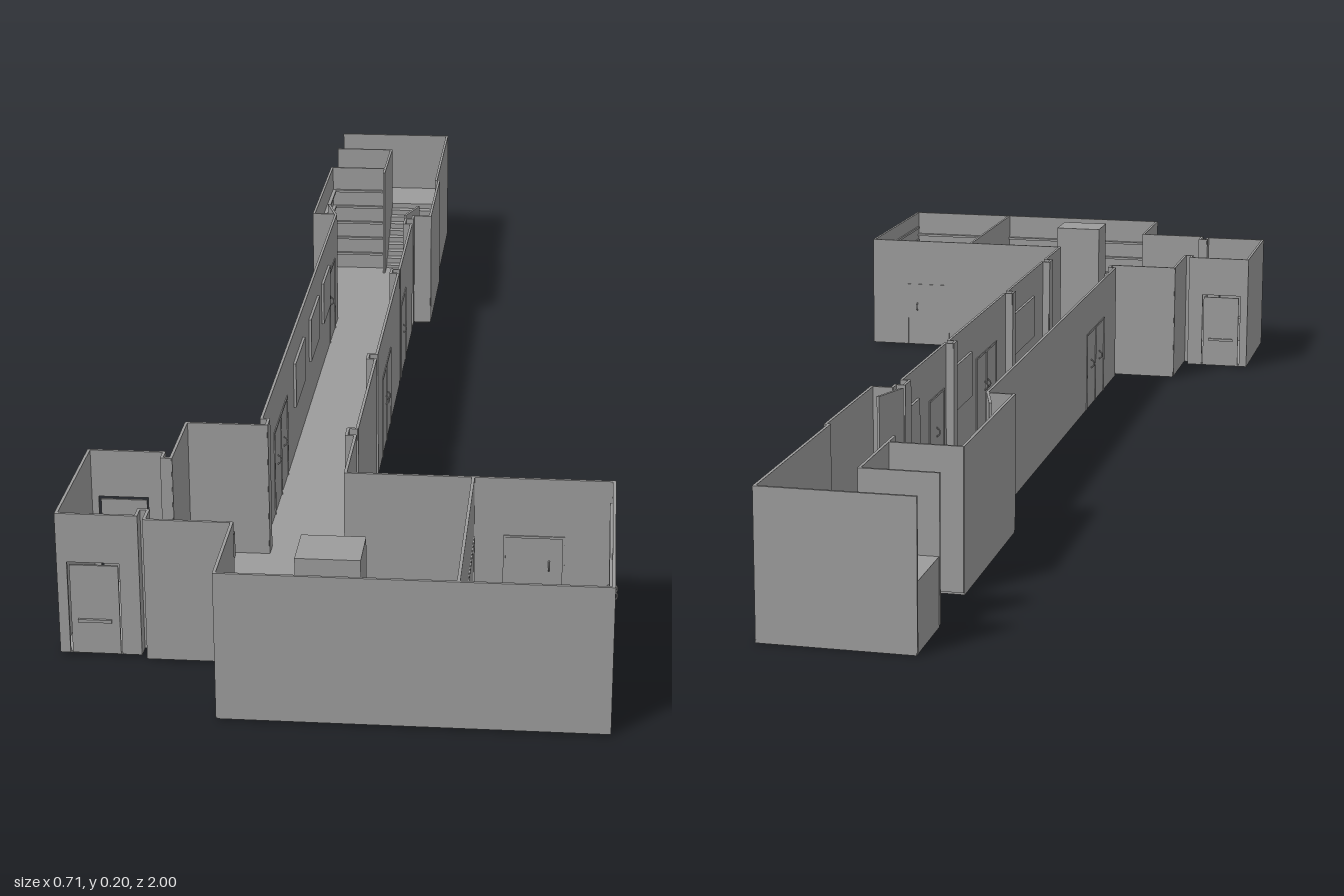
import * as THREE from 'three';

const H = 0.195, T = 0.004, BASE = 0.003;

export function createModel() {
  const model = new THREE.Group();
  const mat = new THREE.MeshStandardMaterial({ color: 0x9b9b9b, flatShading: true, side: THREE.DoubleSide });

  // Box given by its two opposite corners
  const block = (name, x0, x1, y0, y1, z0, z1, parent = model) => {
    const m = new THREE.Mesh(new THREE.BoxGeometry(x1 - x0, y1 - y0, z1 - z0), mat);
    m.position.set((x0 + x1) / 2, (y0 + y1) / 2, (z0 + z1) / 2);
    m.name = name;
    parent.add(m);
  };
  // Walls along a chain of plan points [x, z]
  const walls = (name, pts) => {
    for (let i = 0; i < pts.length - 1; i++) {
      const [ax, az] = pts[i], [bx, bz] = pts[i + 1];
      const m = new THREE.Mesh(new THREE.BoxGeometry(Math.hypot(bx - ax, bz - az) + T * 0.5, H - BASE, T), mat);
      m.position.set((ax + bx) / 2, (H + BASE) / 2, (az + bz) / 2);
      m.rotation.y = -Math.atan2(bz - az, bx - ax);
      m.name = name;
      model.add(m);
    }
  };

  // Floors: the stair end lies slightly lower than the rest
  [
    ['stairFloor', -0.08, 0.02, -0.89, -0.76, 0],
    ['landingFloor', -0.18, 0.02, -1, -0.89, 0],
    ['lobbyFloor', -0.18, 0.02, -0.76, -0.47, 0],
    ['corridorFloor', -0.14, -0.005, -0.47, 0.52, 0.002],
    ['hallFloor', -0.24, -0.003, 0.52, 0.68, 0.002],
    ['hallFrontFloor', -0.24, 0, 0.68, 0.85, 0.002],
    ['mainRoomFloor', 0, 0.344, 0.68, 1, 0.002],
    ['mainRoomCornerFloor', -0.13, 0, 0.85, 1, 0.002],
    ['sideRoomFloor', -0.355, -0.25, 0.63, 0.84, 0.002],
    ['sideThresholdFloor', -0.25, -0.24, 0.65, 0.82, 0.002],
  ].forEach(([n, x0, x1, z0, z1, y]) => block(n, x0, x1, y, BASE + 0.001, z0, z1));

  // Stairwell and lobby walls
  walls('stairwellWall', [[-0.18, -0.998], [0.018, -0.998], [0.018, -0.69], [0.023, -0.69], [0.023, -0.468], [-0.006, -0.468]]);
  walls('stairInnerWall', [[-0.18, -0.89], [-0.08, -0.89], [-0.08, -0.73]]);
  walls('lobbyWall', [[-0.08, -0.76], [-0.178, -0.76], [-0.178, -0.468], [-0.14, -0.468]]);

  // Solid stairs rising to the half landing
  const steps = 9, landingY = 0.09;
  for (let i = 0; i < steps; i++) {
    const z1 = -0.76 - i * 0.13 / steps;
    block('stairStep', -0.08, 0.018, BASE, landingY * (i + 1) / (steps + 1), z1 - 0.13 / steps, z1);
  }
  block('landing', -0.18, 0.018, BASE, landingY, -0.998, -0.89);

  // Lobby wall slats and opened door leaves
  for (let y = 0.03; y < 0.18; y += 0.03) {
    block('lobbySlat', -0.176, -0.17, y, y + 0.004, -0.756, -0.48);
    block('lobbyEndSlat', -0.17, -0.085, y, y + 0.004, -0.758, -0.752);
  }
  walls('lobbyDoorLeaf', [[-0.142, -0.47], [-0.158, -0.525]]);
  walls('lobbyDoorLeaf', [[-0.02, -0.47], [-0.002, -0.525]]);

  // Corridor: plain wall on one side, recessed joints on the other
  walls('corridorWall', [[-0.14, -0.468], [-0.14, 0.5], [-0.13, 0.5], [-0.13, 0.522]]);
  const run = [[-0.006, -0.468]];
  [[-0.45, -0.42], [-0.17, -0.15], [0.23, 0.25], [0.525, 0.55]].forEach(([a, b]) =>
    run.push([-0.006, a], [-0.018, a], [-0.018, b], [-0.006, b]));
  run.push([-0.006, 0.68]);
  walls('corridorDoorWall', run);

  // Hall, main room and side room walls
  walls('mainRoomWall', [[-0.006, 0.68], [0.342, 0.68], [0.342, 0.998], [-0.13, 0.998], [-0.13, 0.85], [-0.24, 0.85],
    [-0.24, 0.82], [-0.252, 0.82], [-0.252, 0.84]]);
  walls('hallWall', [[-0.13, 0.522], [-0.24, 0.522], [-0.24, 0.65], [-0.252, 0.65], [-0.252, 0.63]]);
  walls('sideRoomWall', [[-0.353, 0.63], [-0.353, 0.84]]);
  walls('partitionWall', [[0.16, 0.682], [0.16, 0.996]]);
  block('pillar', -0.04, 0.04, BASE, H, 0.88, 0.95);

  // Side room end walls, each with a hole and a door set in it
  [0.63, 0.84].forEach(z => {
    const s = new THREE.Shape([[-0.355, BASE], [-0.342, BASE], [-0.342, 0.129], [-0.275, 0.129], [-0.275, BASE],
      [-0.25, BASE], [-0.25, H], [-0.355, H]].map(p => new THREE.Vector2(...p)));
    const m = new THREE.Mesh(new THREE.ExtrudeGeometry(s, { depth: T, bevelEnabled: false }), mat);
    m.position.z = z - T / 2;
    m.name = 'sideRoomEndWall';
    model.add(m);
    block('sideRoomDoor', -0.339, -0.277, BASE, 0.125, z - 0.0015, z + 0.0015);
    block('pushBar', -0.33, -0.287, 0.047, 0.051, z - 0.005, z + 0.005);
  });

  // Framed door centred on a plan point, with ring handles on both faces
  const door = (x, z, turn, width, top, handles) => {
    const g = new THREE.Group(), d = 0.0035, w = 0.003, h = width / 2;
    g.name = 'door';
    g.position.set(x, 0, z);
    g.rotation.y = turn;
    [-h, h - w].forEach(a => block('doorFrameSide', -d, d, BASE, top, a, a + w, g));
    block('doorFrameTop', -d, d, top - w, top, -h, h, g);
    if (handles.length === 2) block('doorCentre', -d, d, BASE, top, -0.001, 0.001, g);
    handles.forEach(a => {
      const ring = new THREE.Mesh(new THREE.TorusGeometry(0.007, 0.0012, 6, 14), mat);
      ring.position.set(0, 0.073, a);
      ring.name = 'doorHandle';
      g.add(ring);
    });
    model.add(g);
  };
  door(-0.006, 0.09, 0, 0.14, 0.13, [-0.01, 0.01]);
  door(-0.006, -0.23, 0, 0.09, 0.13, [0.0]);
  door(-0.14, 0.315, 0, 0.15, 0.13, [-0.035, 0.035]);
  door(-0.14, -0.38, 0, 0.08, 0.13, [0.02]);
  door(0.342, 0.755, 0, 0.13, 0.115, [-0.01, 0.01]);
  door(0.16, 0.755, 0, 0.13, 0.115, [0.025]);
  door(0.24, 0.68, Math.PI / 2, 0.08, 0.115, [0.02]);

  // Boards along the inside of the corridor
  [[-0.32, -0.22], [-0.16, -0.04], [0.04, 0.16]].forEach(([a, b]) =>
    block('noticeBoard', -0.138, -0.134, 0.08, 0.15, a, b));
  [[-0.4, -0.34], [-0.12, -0.02], [0.28, 0.44]].forEach(([a, b]) =>
    block('noticeBoard', -0.012, -0.008, 0.08, 0.15, a, b));

  // Wall slats in the main room
  for (let y = 0.03; y < 0.18; y += 0.03) block('wallSlat', -0.126, 0.34, y, y + 0.004, 0.988, 0.996);
  [0.14, 0.165].forEach(y => block('sideWallSlat', 0.337, 0.341, y, y + 0.004, 0.69, 0.986));

  // Slatted bench in the hall
  block('bench', -0.235, -0.175, BASE, 0.04, 0.533, 0.551);
  for (let i = 0; i < 6; i++) block('benchSlat', -0.234 + i * 0.01, -0.228 + i * 0.01, 0.04, 0.043, 0.534, 0.55);

  return model;
}
